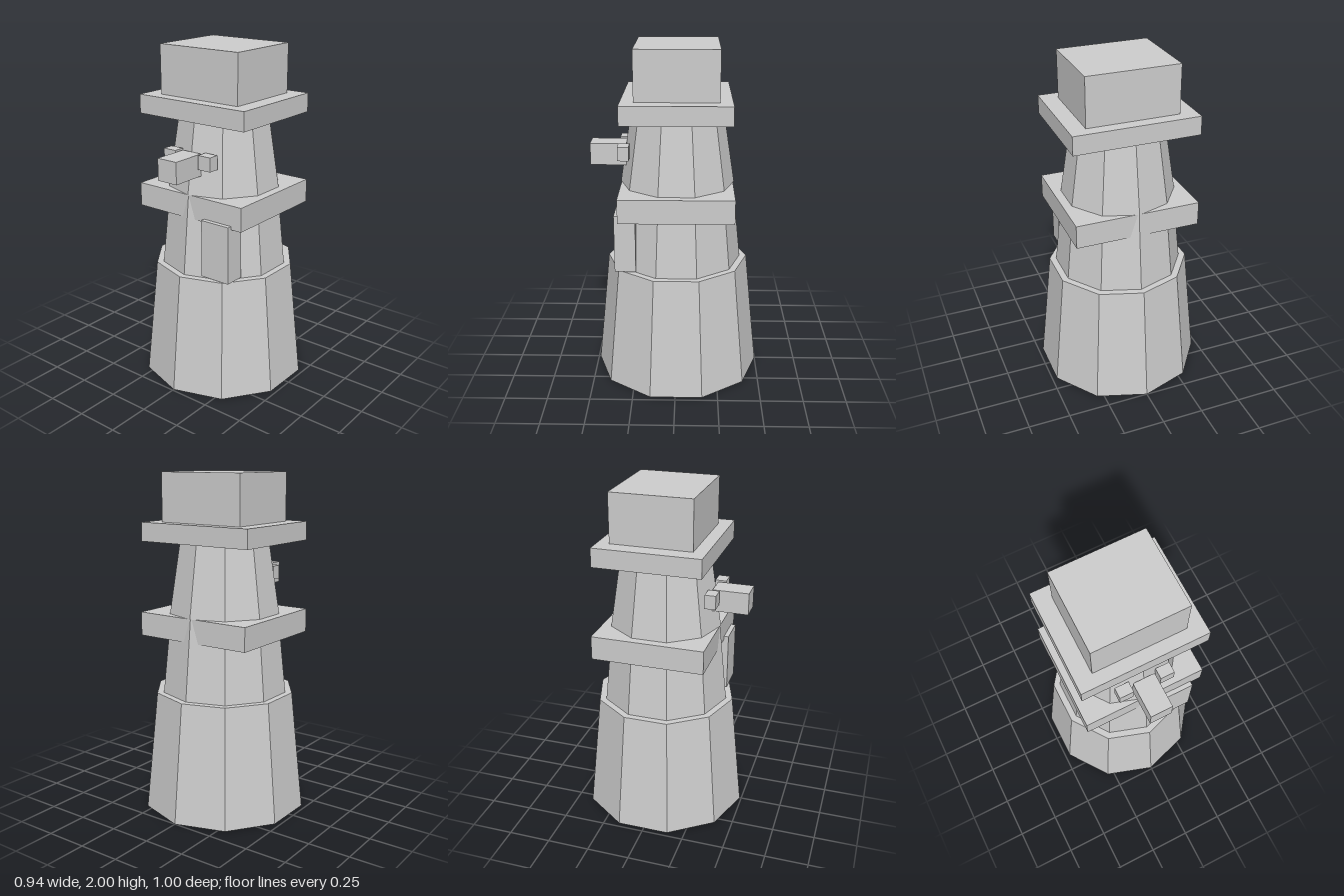
import * as THREE from 'three';

export function createModel() {
  const model = new THREE.Group();
  const grey = new THREE.MeshStandardMaterial({ color: 0xcccccc, flatShading: true });
  grey.name = 'plain grey';

  function add(name, geometry) {
    const mesh = new THREE.Mesh(geometry, grey);
    mesh.name = name;
    model.add(mesh);
  }

  // Ten-sided tapered body section standing between two heights
  function section(name, y0, y1, bottomRadius, topRadius) {
    const g = new THREE.CylinderGeometry(topRadius, bottomRadius, y1 - y0, 10);
    add(name, g.translate(0, (y0 + y1) / 2, -0.005));
  }

  // Box given by its extents on each axis
  function block(name, [x0, x1], [y0, y1], [z0, z1]) {
    const g = new THREE.BoxGeometry(x1 - x0, y1 - y0, z1 - z0);
    add(name, g.translate((x0 + x1) / 2, (y0 + y1) / 2, (z0 + z1) / 2));
  }

  // Stacked body
  section('lowerBody', 0, 0.715, 0.495, 0.42);
  section('middleBody', 0.715, 1.19, 0.38, 0.33);
  section('head', 1.19, 1.605, 0.335, 0.27);

  // Scarf and its hanging end
  block('scarf', [-0.37, 0.37], [1.05, 1.19], [-0.333, 0.325]);
  block('scarfTail', [0.113, 0.302], [0.73, 1.07], [0.23, 0.352]);

  // Hat
  block('hatBrim', [-0.37, 0.37], [1.605, 1.715], [-0.314, 0.306]);
  block('hatCrown', [-0.272, 0.272], [1.715, 2], [-0.243, 0.231]);

  // Face
  block('nose', [-0.066, 0.066], [1.305, 1.433], [0.29, 0.5]);
  block('rightEye', [-0.167, -0.083], [1.355, 1.437], [0.27, 0.335]);
  block('leftEye', [0.081, 0.165], [1.355, 1.437], [0.27, 0.335]);

  return model;
}
